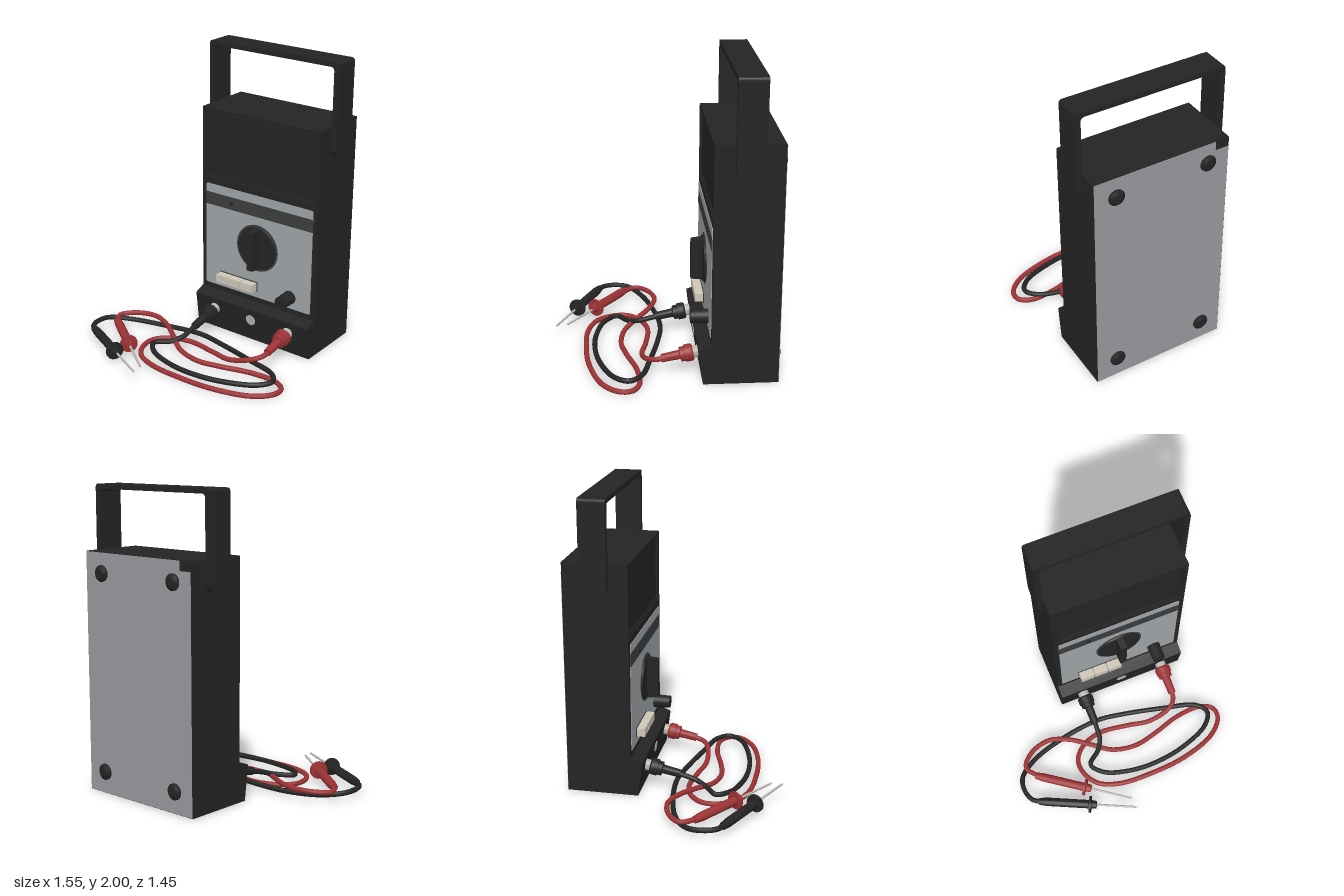
import * as THREE from 'three';
import { toCreasedNormals } from 'three/addons/utils/BufferGeometryUtils.js';

const mat = (name, color) => {
  const m = new THREE.MeshStandardMaterial({ color });
  m.name = name;
  return m;
};

export function createModel() {
  const root = new THREE.Group();
  root.name = 'analogMeter';
  const black = mat('black', 0x242424);
  const panelGrey = mat('panel grey', 0xa0a5a8);
  const backGrey = mat('back grey', 0x989b9e);
  const stripeGrey = mat('stripe grey', 0x3c3e3f);
  const ivory = mat('ivory', 0xcfc7b9);
  const metal = mat('metal', 0xb8b6ae);
  const red = mat('red', 0x9c3235);
  const CX = 0.195; // middle of the case

  const add = (name, geo, material, parent = root) => {
    const m = new THREE.Mesh(geo, material);
    m.name = name;
    parent.add(m);
    return m;
  };
  const box = (name, material, x0, x1, y0, y1, z0, z1) =>
    add(name, new THREE.BoxGeometry(x1 - x0, y1 - y0, z1 - z0)
      .translate((x0 + x1) / 2, (y0 + y1) / 2, (z0 + z1) / 2), material);
  // Disc or knob with its axis on z, from z0 to z1
  const disc = (name, material, x, y, z0, z1, rBack, rFront = rBack) =>
    add(name, new THREE.CylinderGeometry(rFront, rBack, z1 - z0, 32)
      .rotateX(Math.PI / 2).translate(x, y, (z0 + z1) / 2), material);
  const roundRect = (s, x0, x1, y0, y1, r) => {
    s.moveTo(x0 + r, y0);
    s.lineTo(x1 - r, y0).quadraticCurveTo(x1, y0, x1, y0 + r);
    s.lineTo(x1, y1 - r).quadraticCurveTo(x1, y1, x1 - r, y1);
    s.lineTo(x0 + r, y1).quadraticCurveTo(x0, y1, x0, y1 - r);
    s.lineTo(x0, y0 + r).quadraticCurveTo(x0, y0, x0 + r, y0);
    return s;
  };
  const extrude = (shape, depth) =>
    new THREE.ExtrudeGeometry(shape, { depth, bevelEnabled: false, curveSegments: 6 });
  const polygon = (pts) => new THREE.Shape(pts.map((p) => new THREE.Vector2(...p)));
  // Side profile in (z, y), swept across x from x0 to x1
  const sweepX = (shape, x0, x1) => extrude(shape, x1 - x0).rotateY(-Math.PI / 2).translate(x1, 0, 0);
  const lathe = (pts) => toCreasedNormals(
    new THREE.LatheGeometry(pts.map((p) => new THREE.Vector2(...p)), 24), 0.6);

  // Case with a sloping foot at the front
  add('case', sweepX(polygon([[-0.7, 0], [-0.22, 0], [-0.19, 0.235], [-0.27, 0.265],
    [-0.29, 0.265], [-0.29, 1.58], [-0.7, 1.58]]), -0.27, 0.66), black);

  // Front plate with the recessed display window
  const front = polygon([[-0.27, 0.26], [0.66, 0.26], [0.66, 1.58], [-0.27, 1.58]]);
  front.holes.push(roundRect(new THREE.Path(), -0.245, 0.635, 1.095, 1.555, 0.005));
  add('frontPlate', extrude(front, 0.02).translate(0, 0, -0.29), black);
  const rim = roundRect(new THREE.Shape(), -0.238, 0.628, 1.102, 1.548, 0.005);
  rim.holes.push(roundRect(new THREE.Path(), -0.222, 0.612, 1.118, 1.532, 0.005));
  add('displayRim', extrude(rim, 0.015).translate(0, 0, -0.29), black);
  box('displayWindow', black, -0.222, 0.612, 1.118, 1.532, -0.291, -0.284);

  // Control panel
  add('controlPanel', extrude(roundRect(new THREE.Shape(), -0.237, 0.627, 0.303, 1.045, 0.015), 0.004)
    .translate(0, 0, -0.27), panelGrey);
  box('panelStripe', stripeGrey, -0.237, 0.627, 0.895, 0.985, -0.27, -0.264);
  disc('zeroScrew', black, -0.025, 0.94, -0.266, -0.26, 0.015);

  // Selector dial with a tapered grip
  disc('dialRing', stripeGrey, CX, 0.67, -0.267, -0.263, 0.167);
  disc('dialBase', black, CX, 0.67, -0.265, -0.252, 0.155, 0.15);
  add('dialGrip', sweepX(polygon([[-0.26, 0.525], [-0.175, 0.535], [-0.175, 0.805], [-0.26, 0.815]]),
    CX - 0.023, CX + 0.023), black);

  // Push buttons and small knob
  box('buttonBezel', stripeGrey, -0.113, 0.203, 0.35, 0.418, -0.267, -0.262);
  for (let i = 0; i < 3; i++) {
    const x = -0.108 + i * 0.103;
    box('button', ivory, x, x + 0.097, 0.356, 0.412, -0.265, -0.207);
  }
  disc('smallKnob', black, 0.465, 0.385, -0.27, -0.152, 0.047, 0.043);

  // Back plate with one open corner, and four feet
  add('backPlate', extrude(polygon([[-0.267, 0.003], [0.657, 0.003], [0.657, 1.577],
    [-0.175, 1.577], [-0.175, 1.515], [-0.267, 1.515]]), 0.004).translate(0, 0, -0.703), backGrey);
  for (const x of [-0.122, 0.512]) for (const y of [0.145, 1.445]) {
    disc('foot', black, x, y, -0.714, -0.7, 0.053);
    disc('footCap', black, x, y, -0.727, -0.714, 0.03, 0.053);
  }

  // Carrying handle: a bent strap with rounded ends
  const strap = new THREE.Shape();
  strap.moveTo(-0.308, 1.48);
  strap.lineTo(-0.308, 1.975).quadraticCurveTo(-0.308, 2, -0.283, 2);
  strap.lineTo(0.673, 2).quadraticCurveTo(0.698, 2, 0.698, 1.975);
  strap.lineTo(0.698, 1.48).lineTo(0.66, 1.48);
  strap.lineTo(0.66, 1.94).quadraticCurveTo(0.66, 1.968, 0.632, 1.968);
  strap.lineTo(-0.242, 1.968).quadraticCurveTo(-0.27, 1.968, -0.27, 1.94);
  strap.lineTo(-0.27, 1.48);
  add('handle', extrude(strap, 0.18).translate(0, 0, -0.577), black);
  const end = new THREE.Shape();
  end.moveTo(-0.577, 1.48);
  end.lineTo(-0.577, 1.44).quadraticCurveTo(-0.577, 1.387, -0.527, 1.387);
  end.lineTo(-0.447, 1.387).quadraticCurveTo(-0.397, 1.387, -0.397, 1.44);
  end.lineTo(-0.397, 1.48);
  add('handleEnd', sweepX(end, -0.308, -0.27), black);
  add('handleEnd', sweepX(end, 0.66, 0.698), black);

  // Round centre socket on the sloping foot
  const socket = disc('centreSocket', metal, 0, 0, -0.005, 0.004, 0.038);
  socket.position.set(CX, 0.155, -0.2);
  socket.rotation.x = 0.127;

  // Plugs, slightly tilted down
  const plug = (name, x, material) => {
    const g = new THREE.Group();
    g.name = name;
    g.position.set(x, 0.158, -0.205);
    g.rotation.x = 0.2;
    add('plugCollar', lathe([[0, 0], [0.038, 0], [0.038, 0.045], [0, 0.045]]).rotateX(Math.PI / 2), metal, g);
    add('plugBody', lathe([[0, 0.036], [0.045, 0.036], [0.056, 0.046], [0.056, 0.09], [0.048, 0.092],
      [0.048, 0.12], [0.03, 0.125], [0.027, 0.245], [0, 0.245]]).rotateX(Math.PI / 2), material, g);
    root.add(g);
  };
  plug('blackPlug', -0.108, black);
  plug('redPlug', 0.5, red);

  // Test leads lying on the ground
  const cable = (name, material, pts) => add(name, new THREE.TubeGeometry(
    new THREE.CatmullRomCurve3(pts.map((p) => new THREE.Vector3(...p))), 160, 0.017, 10), material);
  cable('blackLead', black, [
    [-0.108, 0.11, 0.02], [-0.11, 0.095, 0.08], [-0.118, 0.075, 0.15], [-0.16, 0.055, 0.22],
    [-0.25, 0.05, 0.3], [-0.18, 0.045, 0.385], [-0.02, 0.04, 0.44], [0.17, 0.04, 0.458],
    [0.4, 0.045, 0.43], [0.63, 0.055, 0.34], [0.69, 0.058, 0.25], [0.63, 0.058, 0.17],
    [0.4, 0.05, 0.1], [0.13, 0.045, 0.035], [-0.08, 0.045, 0.005], [-0.39, 0.03, 0.04],
    [-0.62, 0.035, 0.115], [-0.74, 0.05, 0.21], [-0.757, 0.056, 0.31], [-0.73, 0.058, 0.385],
    [-0.675, 0.06, 0.423]]);
  cable('redLead', red, [
    [0.5, 0.11, 0.02], [0.497, 0.1, 0.06], [0.475, 0.09, 0.1], [0.42, 0.07, 0.132],
    [0.27, 0.03, 0.148], [0.11, 0.018, 0.115], [-0.1, 0.018, 0.092], [-0.245, 0.018, 0.14],
    [-0.32, 0.018, 0.23], [-0.315, 0.018, 0.335], [-0.245, 0.018, 0.44], [-0.1, 0.018, 0.5],
    [0.13, 0.018, 0.515], [0.4, 0.018, 0.495], [0.65, 0.018, 0.415], [0.75, 0.02, 0.315],
    [0.75, 0.02, 0.235], [0.67, 0.02, 0.183], [0.48, 0.022, 0.19], [0.27, 0.024, 0.25],
    [0.11, 0.024, 0.28], [-0.06, 0.035, 0.25], [-0.2, 0.055, 0.155], [-0.33, 0.066, 0.068],
    [-0.47, 0.07, 0.022], [-0.62, 0.065, 0.065], [-0.69, 0.06, 0.15], [-0.63, 0.062, 0.238]]);

  // Probes with finger guard and needle
  const probe = (name, material, from, to) => {
    const g = new THREE.Group();
    g.name = name;
    const a = new THREE.Vector3(...from);
    const dir = new THREE.Vector3(...to).sub(a);
    const len = dir.length();
    g.position.copy(a);
    g.quaternion.setFromUnitVectors(new THREE.Vector3(0, 1, 0), dir.normalize());
    add('probeGrip', lathe([[0, 0], [0.024, 0], [0.03, 0.06], [0.03, 0.355], [0.06, 0.358], [0.06, 0.373],
      [0.03, 0.376], [0.026, 0.41], [0, 0.415]]), material, g);
    add('probeNeedle', lathe([[0, 0.4], [0.008, 0.4], [0.007, len - 0.02], [0, len]]), metal, g);
    root.add(g);
  };
  probe('redProbe', red, [-0.645, 0.062, 0.23], [-0.066, 0.08, 0.65]);
  probe('blackProbe', black, [-0.69, 0.06, 0.415], [-0.055, 0.078, 0.722]);

  return root;
}
